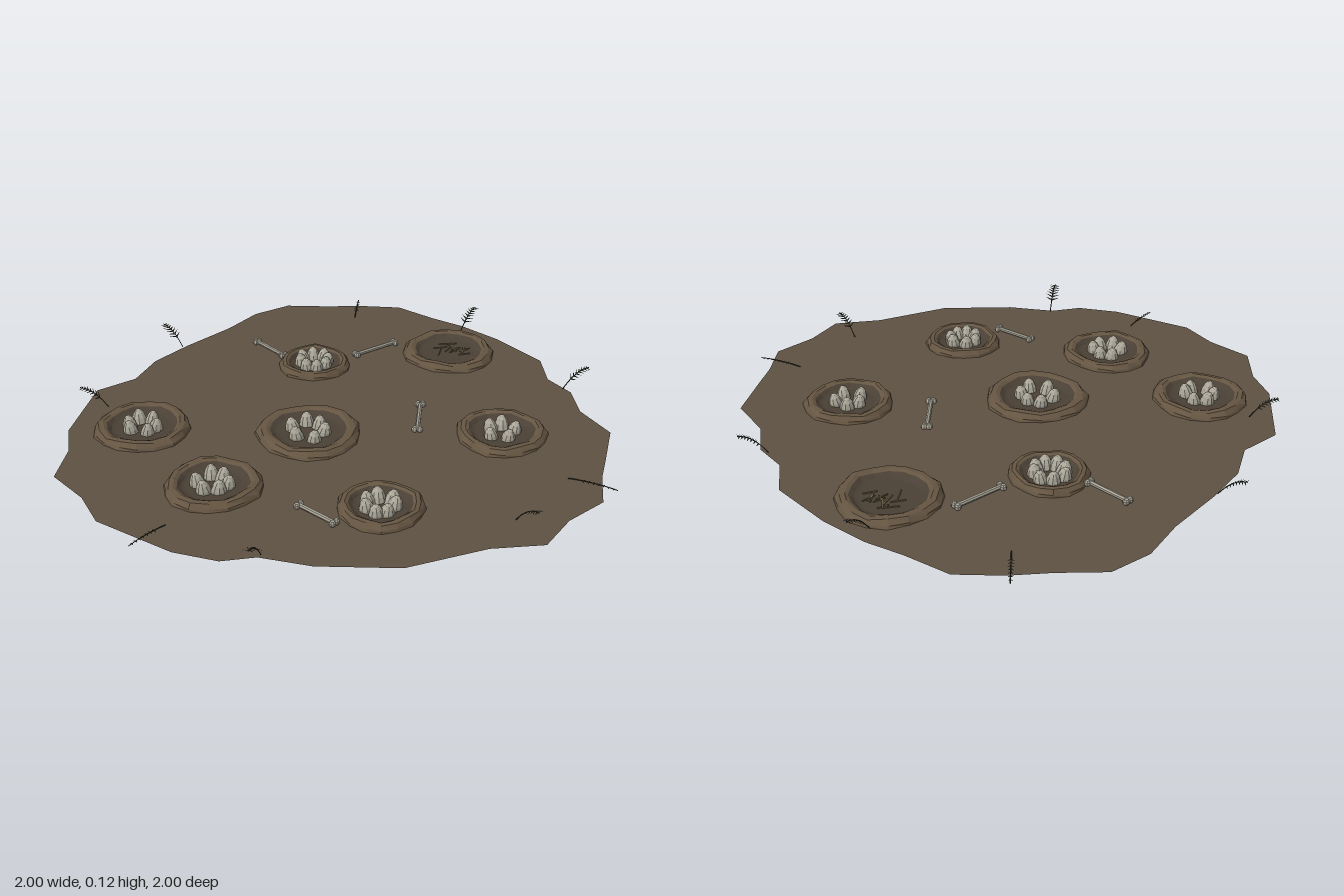
import * as THREE from 'three';
import { mergeGeometries } from 'three/addons/utils/BufferGeometryUtils.js';

const GROUND_Y = 0.037;
const mat = (color, extra = {}) => new THREE.MeshStandardMaterial({ color, flatShading: true, ...extra });
const soil = mat(0x5e5143, { side: THREE.DoubleSide });
const rimMat = mat(0x655542);
const bowlMat = mat(0x4a4035);
const twigMat = mat(0x6e5f45);
const eggMat = mat(0xaaa698);
const boneMat = mat(0xa5a193);
const fernMat = mat(0x35362a, { side: THREE.DoubleSide });

let seed = 7;
const rand = () => (seed = (seed * 16807) % 2147483647) / 2147483647;

function add(parent, name, geometry, material) {
  const mesh = new THREE.Mesh(geometry, material);
  mesh.name = name;
  parent.add(mesh);
  return mesh;
}

// Flat patch of earth with a ragged edge, as [x, z] corners
const OUTLINE = [
  [-0.21, -1], [-0.04, -0.955], [0.1, -0.93], [0.27, -0.87], [0.49, -0.75], [0.56, -0.61], [0.67, -0.54],
  [0.74, -0.41], [0.88, -0.3], [0.91, -0.1], [0.925, 0.01], [0.965, 0.16], [0.89, 0.31], [0.86, 0.47],
  [0.7, 0.56], [0.49, 0.76], [0.23, 0.86], [0.05, 0.885], [-0.05, 0.95], [-0.21, 0.965], [-0.52, 0.91],
  [-0.64, 0.81], [-0.8, 0.735], [-0.85, 0.57], [-0.93, 0.45], [-1, 0.15], [-0.915, 0.01], [-0.92, -0.15],
  [-0.87, -0.32], [-0.79, -0.53], [-0.75, -0.7], [-0.66, -0.83], [-0.5, -0.89], [-0.37, -0.95],
];
function groundGeometry() {
  const shape = new THREE.Shape(OUTLINE.map(([x, z]) => new THREE.Vector2(x, -z)));
  return new THREE.ShapeGeometry(shape).rotateX(-Math.PI / 2).translate(0, GROUND_Y, 0);
}

// Turned profile whose radius and height waver around the ring
function unevenLathe(profile, radius, phase) {
  const geo = new THREE.LatheGeometry(profile.map(([r, y]) => new THREE.Vector2(r * radius, y)), 16);
  const p = geo.attributes.position;
  for (let i = 0; i < p.count; i++) {
    const x = p.getX(i), y = p.getY(i), z = p.getZ(i);
    const a = Math.atan2(z, x);
    const s = 1 + 0.025 * Math.sin(3 * a + phase) + 0.02 * Math.sin(7 * a + phase * 2 + y * 90);
    const lift = y > 0.05 ? 0.003 * Math.sin(5 * a + phase * 3) : 0;
    p.setXYZ(i, x * s, y + lift, z * s);
  }
  geo.computeVertexNormals();
  return geo;
}

// Egg: a low sphere, narrower toward the top
function eggGeometry() {
  const geo = new THREE.SphereGeometry(1, 9, 7);
  const p = geo.attributes.position;
  for (let i = 0; i < p.count; i++) {
    const taper = 1 - 0.15 * p.getY(i);
    p.setXYZ(i, p.getX(i) * 0.027 * taper, p.getY(i) * 0.043, p.getZ(i) * 0.027 * taper);
  }
  return geo;
}

const RIM = [[1, 0.035], [0.98, 0.047], [0.9, 0.062], [0.8, 0.064], [0.73, 0.058]];
const BOWL = [[0.73, 0.058], [0.64, 0.047], [0.58, 0.044], [0.3, 0.041], [0, 0.04]];
function makeNest([x, z, radius, eggs, ring], i) {
  const nest = new THREE.Group();
  nest.name = 'nest';
  nest.position.set(x, 0, z);
  add(nest, 'nestRim', unevenLathe(RIM, radius, i * 1.7), rimMat);
  add(nest, 'nestBowl', unevenLathe(BOWL, radius, i * 1.7), bowlMat);
  const egg = eggGeometry();
  for (let k = 0; k < eggs; k++) {
    const a = (k / eggs) * Math.PI * 2 + i + (rand() - 0.5) * 0.3;
    const r = ring * (0.92 + rand() * 0.16);
    const mesh = add(nest, 'egg', egg, eggMat);
    mesh.position.set(Math.cos(a) * r, 0.046, Math.sin(a) * r);
    // lean outward from the middle of the clutch
    mesh.rotation.set(Math.sin(a) * 0.2, 0, -Math.cos(a) * 0.2);
    mesh.scale.setScalar(0.93 + rand() * 0.1);
  }
  // The nest without eggs holds loose twigs
  for (let k = 0; eggs === 0 && k < 14; k++) {
    const a = rand() * Math.PI * 2, r = 0.02 + rand() * 0.05;
    const twig = add(nest, 'twig', new THREE.BoxGeometry(0.04 + rand() * 0.03, 0.004, 0.004), twigMat);
    twig.position.set(Math.cos(a) * r, 0.045, Math.sin(a) * r);
    twig.rotation.y = rand() * Math.PI;
  }
  return nest;
}

// Bone: shaft with two knobs at each end
function makeBone([x1, z1, x2, z2]) {
  const length = Math.hypot(x2 - x1, z2 - z1);
  const bone = new THREE.Group();
  bone.name = 'bone';
  bone.position.set((x1 + x2) / 2, 0.047, (z1 + z2) / 2);
  bone.rotation.y = -Math.atan2(z2 - z1, x2 - x1);
  add(bone, 'boneShaft', new THREE.CylinderGeometry(0.0085, 0.0085, length, 7).rotateZ(Math.PI / 2), boneMat);
  for (const end of [-1, 1]) {
    for (const side of [-1, 1]) {
      const knob = add(bone, 'boneKnob', new THREE.SphereGeometry(0.0125, 7, 5), boneMat);
      knob.position.set((end * length) / 2, 0, side * 0.009);
    }
  }
  return bone;
}

// Fern frond: arching stem with paired pointed leaflets
function makeFern([x1, z1, x2, z2, rise, leaf]) {
  const base = new THREE.Vector3(x1, 0.04, z1);
  const tip = new THREE.Vector3(x2, 0.04 + rise, z2);
  const bend = base.clone().lerp(tip, 0.5).setY(0.05 + rise * 0.85);
  const curve = new THREE.QuadraticBezierCurve3(base, bend, tip);
  const side = new THREE.Vector3(-(z2 - z1), 0, x2 - x1).normalize();
  const corners = [];
  for (let k = 0; k < 7; k++) {
    const t = 0.3 + k * 0.1;
    const root = curve.getPoint(t), along = curve.getTangent(t);
    const size = leaf * (1.15 - 0.75 * (t - 0.3));
    for (const s of [-1, 1]) {
      const end = root.clone().addScaledVector(side, s * size).addScaledVector(along, size * 0.55);
      end.y -= size * 0.15;
      corners.push(root.clone().addScaledVector(along, -0.004), root.clone().addScaledVector(along, 0.004), end);
    }
  }
  const leaves = new THREE.BufferGeometry().setFromPoints(corners);
  leaves.computeVertexNormals();
  const stem = new THREE.TubeGeometry(curve, 8, 0.002, 4).toNonIndexed();
  stem.deleteAttribute('uv');
  const fern = new THREE.Mesh(mergeGeometries([stem, leaves]), fernMat);
  fern.name = 'fern';
  return fern;
}

export function createModel() {
  const model = new THREE.Group();
  model.name = 'nestingGround';
  add(model, 'ground', groundGeometry(), soil);

  // x, z, radius, egg count, clutch radius
  const nests = [
    [0.13, -0.675, 0.182, 0, 0], [-0.325, -0.37, 0.14, 8, 0.052], [0.52, -0.135, 0.165, 5, 0.048],
    [-0.12, 0.13, 0.19, 6, 0.06], [-0.69, 0.33, 0.175, 6, 0.05], [-0.27, 0.575, 0.17, 6, 0.05],
    [0.3, 0.48, 0.148, 7, 0.048],
  ];
  nests.forEach((n, i) => model.add(makeNest(n, i)));

  // Start and end of each bone: x, z, x, z
  const bones = [
    [-0.615, -0.45, -0.465, -0.38], [-0.1, -0.66, -0.2, -0.5],
    [0.18, -0.215, 0.235, -0.035], [0.05, 0.58, 0.2, 0.63],
  ];
  for (const b of bones) model.add(makeBone(b));

  // Base x, z, tip x, z, rise, leaflet length
  const ferns = [
    [0.115, -0.86, 0.145, -0.96, 0.08, 0.026], [0.635, -0.55, 0.715, -0.61, 0.08, 0.026],
    [0.73, 0.375, 0.815, 0.42, 0.075, 0.026], [0.055, 0.87, 0.065, 0.97, 0.08, 0.026],
    [-0.89, 0.245, -0.985, 0.275, 0.075, 0.026], [-0.88, -0.3, -0.975, -0.32, 0.075, 0.026],
    [-0.345, -0.83, -0.395, -0.99, 0.003, 0.011], [0.82, 0.065, 0.995, 0.08, 0.003, 0.011],
    [-0.3, 0.845, -0.345, 0.995, 0.003, 0.011],
  ];
  for (const f of ferns) model.add(makeFern(f));
  return model;
}
